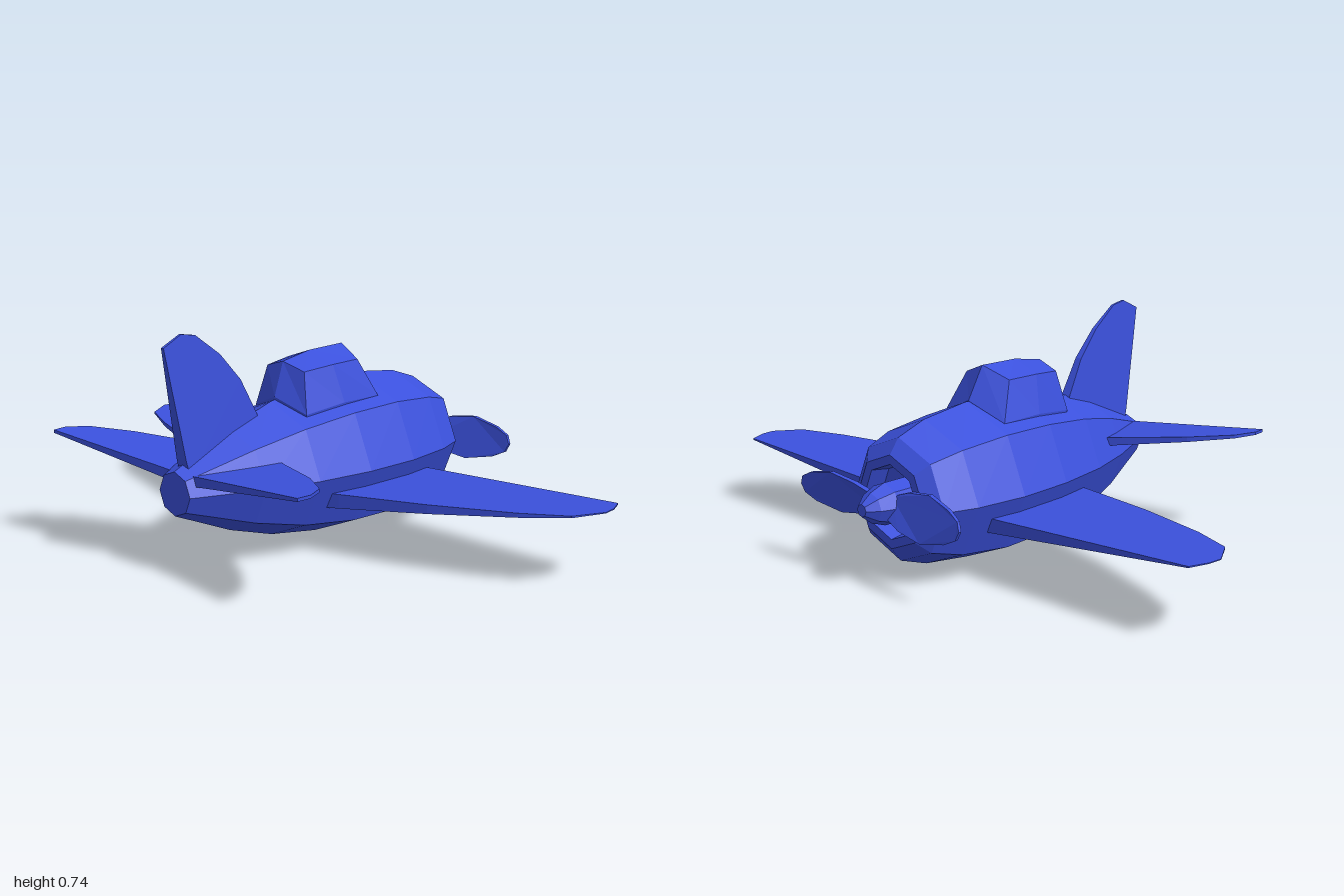
import * as THREE from 'three';

const AXIS_Y = 0.26; // height of the fuselage centreline

export function createModel() {
  const model = new THREE.Group();
  const blue = new THREE.MeshStandardMaterial({ color: 0x3b51dd, flatShading: true });
  blue.name = 'blue paint';

  const add = (name, geometry, parent = model) => {
    const mesh = new THREE.Mesh(geometry, blue);
    mesh.name = name;
    parent.add(mesh);
    return mesh;
  };

  // Eight-sided body of revolution along z, from [radius, z] pairs
  const turned = (profile) => new THREE.LatheGeometry(profile.map(([r, z]) => new THREE.Vector2(r, z)), 8)
    .rotateX(Math.PI / 2).translate(0, AXIS_Y, 0);

  // Make the corner order of a closed solid face outwards
  const outward = (geometry) => {
    const p = geometry.attributes.position;
    const v = [0, 1, 2].map(() => new THREE.Vector3());
    let volume = 0;
    for (let i = 0; i < p.count; i += 3) {
      v.forEach((c, k) => c.fromBufferAttribute(p, i + k));
      volume += v[0].dot(v[1].clone().cross(v[2]));
    }
    if (volume < 0) {
      for (let i = 0; i < p.count; i += 3) {
        v.forEach((c, k) => c.fromBufferAttribute(p, i + k));
        p.setXYZ(i + 1, v[2].x, v[2].y, v[2].z);
        p.setXYZ(i + 2, v[1].x, v[1].y, v[1].z);
      }
    }
    geometry.computeVertexNormals();
    return geometry;
  };

  // Thin tapered plate: outline (u, v) and side s (0 or 1) are placed by a rule
  const plate = (outline, place) => {
    const shape = new THREE.Shape(outline.map(([u, v]) => new THREE.Vector2(u, v)));
    const geometry = new THREE.ExtrudeGeometry(shape, { depth: 1, bevelEnabled: false });
    const p = geometry.attributes.position;
    for (let i = 0; i < p.count; i++) p.setXYZ(i, ...place(p.getX(i), p.getY(i), p.getZ(i)));
    geometry.clearGroups();
    return outward(geometry);
  };
  const mix = THREE.MathUtils.lerp;

  // Fuselage with an open cowling at the nose
  add('fuselage', turned([
    [0, -0.46], [0.11, -0.46], [0.12, -0.525], [0.15, -0.525], [0.198, -0.488], [0.235, -0.38],
    [0.258, -0.2], [0.252, 0], [0.22, 0.2], [0.165, 0.38], [0.07, 0.605], [0, 0.605],
  ]));

  // Wings and tailplane, mirrored left and right
  const wing = [[0.1, -0.31], [0.97, -0.31], [0.995, -0.25], [1, -0.2], [0.945, -0.105],
    [0.8, -0.035], [0.53, 0.055], [0.23, 0.13], [0.1, 0.155]];
  const tailplane = [[0.02, 0.24], [0.17, 0.315], [0.4, 0.43], [0.525, 0.52], [0.56, 0.59],
    [0.555, 0.638], [0.08, 0.58], [0.02, 0.575]];
  for (const [side, sx] of [['left', 1], ['right', -1]]) {
    add(side + 'Wing', plate(wing, (x, z, s) =>
      [sx * x, mix(0.137 + 0.1 * x, 0.196 + 0.044 * x, s), z]));
    add(side + 'Tailplane', plate(tailplane, (x, z, s) =>
      [sx * x, mix(0.28 + 0.143 * x, 0.315 + 0.098 * x, s), z]));
  }

  // Upright fin, thinner towards its tip
  const fin = [[0.26, 0.4], [0.277, 0.457], [0.34, 0.575], [0.42, 0.665], [0.515, 0.735],
    [0.57, 0.745], [0.64, 0.712], [0.575, 0.36], [0.56, 0.3]];
  add('fin', plate(fin, (z, y, s) => [(s - 0.5) * mix(0.05, 0.008, (y - 0.3) / 0.45), y, z]));

  // Canopy: lower and upper half rings (front to back), mirrored and joined
  const mirrored = (half) => [...half, ...half.slice(1, -1).reverse().map(([x, y, z]) => [-x, y, z])];
  const sunk = mirrored([[0, 0.4, -0.18], [0.12, 0.4, -0.16], [0.125, 0.4, 0], [0.11, 0.4, 0.15], [0, 0.4, 0.175]]);
  const base = mirrored([[0, 0.52, -0.187], [0.132, 0.463, -0.16], [0.133, 0.465, 0], [0.115, 0.447, 0.155], [0, 0.492, 0.183]]);
  const roof = mirrored([[0, 0.625, -0.125], [0.095, 0.587, -0.1], [0.1, 0.587, 0.02], [0.083, 0.577, 0.133], [0, 0.602, 0.145]]);
  const corners = [];
  const rings = [sunk, base, roof];
  for (let i = 0; i < 8; i++) {
    const j = (i + 1) % 8;
    for (let k = 0; k < 2; k++) {
      const [a, b, c, d] = [rings[k][i], rings[k][j], rings[k + 1][j], rings[k + 1][i]];
      corners.push(a, b, c, a, c, d);
    }
    corners.push(roof[i], roof[j], [0, 0.622, 0.025]);
    corners.push(sunk[j], sunk[i], [0, 0.4, 0]);
  }
  const canopy = new THREE.BufferGeometry();
  canopy.setAttribute('position', new THREE.Float32BufferAttribute(corners.flat(), 3));
  add('canopy', outward(canopy));

  // Propeller: spinner and two twisted blades
  const propeller = new THREE.Group();
  propeller.name = 'propeller';
  model.add(propeller);
  add('spinner', turned([[0, -0.642], [0.02, -0.642], [0.048, -0.605], [0.068, -0.55], [0.068, -0.455], [0, -0.455]]), propeller);
  const blade = [[0.03, -0.03], [0.1, -0.055], [0.2, -0.07], [0.3, -0.05], [0.345, -0.028], [0.357, 0],
    [0.345, 0.028], [0.3, 0.05], [0.2, 0.07], [0.1, 0.055], [0.03, 0.03]];
  for (const [side, sx] of [['left', 1], ['right', -1]]) {
    add(side + 'Blade', plate(blade, (r, c, s) => [
      sx * r,
      AXIS_Y + sx * c,
      -0.548 - 0.09 * r - c * mix(0.5, 0.15, r / 0.357) + (s - 0.5) * mix(0.022, 0.01, r / 0.357),
    ]), propeller);
  }

  return model;
}
